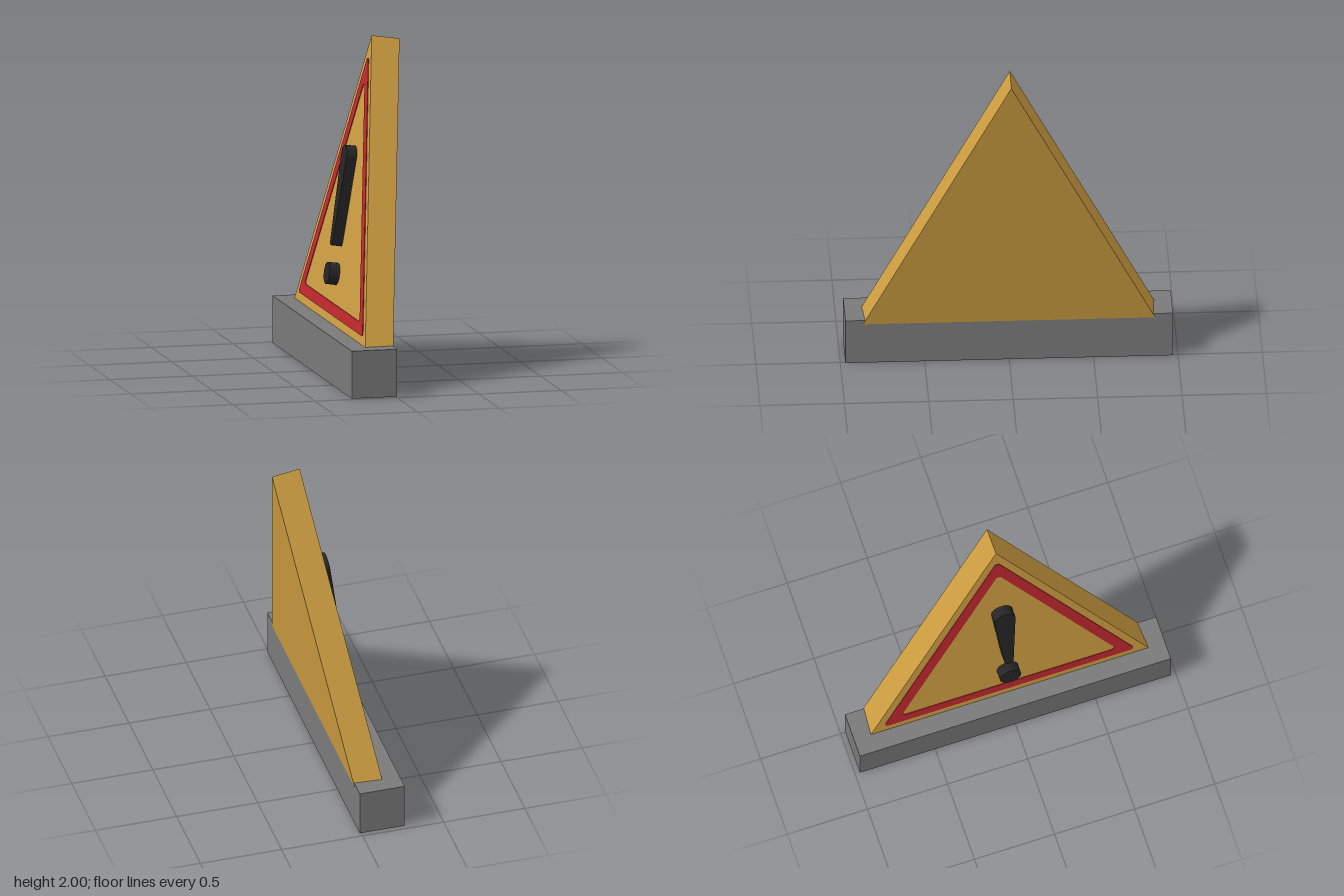
import * as THREE from 'three';

const SLANT = Math.atan(0.499); // half angle at the top of the triangle
const HEIGHT = 1.734;
const HALF = 0.865;
const THICK = 0.172;

// Triangle inset by d from the panel outline, corners rounded by radius r
function triangle(Path, d, r) {
  const p = new Path();
  const base = d + r;
  const top = HEIGHT - base / Math.sin(SLANT);
  const half = (top - base) * Math.tan(SLANT);
  if (r === 0) {
    p.moveTo(-half, base);
    p.lineTo(half, base);
    p.lineTo(0, top);
  } else {
    p.absarc(-half, base, r, Math.PI - SLANT, 1.5 * Math.PI, false);
    p.absarc(half, base, r, -Math.PI / 2, SLANT, false);
    p.absarc(0, top, r, SLANT, Math.PI - SLANT, false);
  }
  p.closePath();
  return p;
}

function extrude(shape, depth) {
  return new THREE.ExtrudeGeometry(shape, { depth, bevelEnabled: false, curveSegments: 10 });
}

export function createModel() {
  const yellow = new THREE.MeshStandardMaterial({ color: 0xcf9f42 });
  const red = new THREE.MeshStandardMaterial({ color: 0xc0282e });
  const black = new THREE.MeshStandardMaterial({ color: 0x262626 });
  const grey = new THREE.MeshStandardMaterial({ color: 0x7a7a7a });

  const model = new THREE.Group();
  model.name = 'warningSign';
  const add = (parent, name, geometry, material) => {
    const mesh = new THREE.Mesh(geometry, material);
    mesh.name = name;
    parent.add(mesh);
    return mesh;
  };

  // Base block
  add(model, 'base', new THREE.BoxGeometry(0.277, 0.285, 1.94), grey)
    .position.set(-0.1295, 0.1425, 0);

  // Leaning sign: its printed face looks towards -x
  const sign = new THREE.Group();
  sign.name = 'sign';
  sign.rotation.set(0, -Math.PI / 2, -0.1476, 'ZYX');
  sign.position.set(-0.16, 0.285, 0);
  model.add(sign);

  add(sign, 'panel', extrude(triangle(THREE.Shape, 0, 0), THICK), yellow).position.z = -THICK;

  // Thin red border
  const border = triangle(THREE.Shape, 0.05, 0.02);
  border.holes.push(triangle(THREE.Path, 0.12, 0.02));
  add(sign, 'border', extrude(border, 0.004), red);

  // Exclamation mark: tapered bar between two rounded ends, and a dot
  const topR = 0.065, lowR = 0.028, topY = 1.002, lowY = 0.489;
  const lean = Math.asin((topR - lowR) / (topY - lowY));
  const bar = new THREE.Shape();
  bar.absarc(0, topY, topR, -lean, Math.PI + lean, false);
  bar.absarc(0, lowY, lowR, Math.PI + lean, 2 * Math.PI - lean, false);
  bar.closePath();
  add(sign, 'markBar', extrude(bar, 0.063), black);

  const dot = add(sign, 'markDot', new THREE.CylinderGeometry(0.066, 0.066, 0.063, 24), black);
  dot.rotation.x = Math.PI / 2;
  dot.position.set(0, 0.294, 0.0315);

  return model;
}
